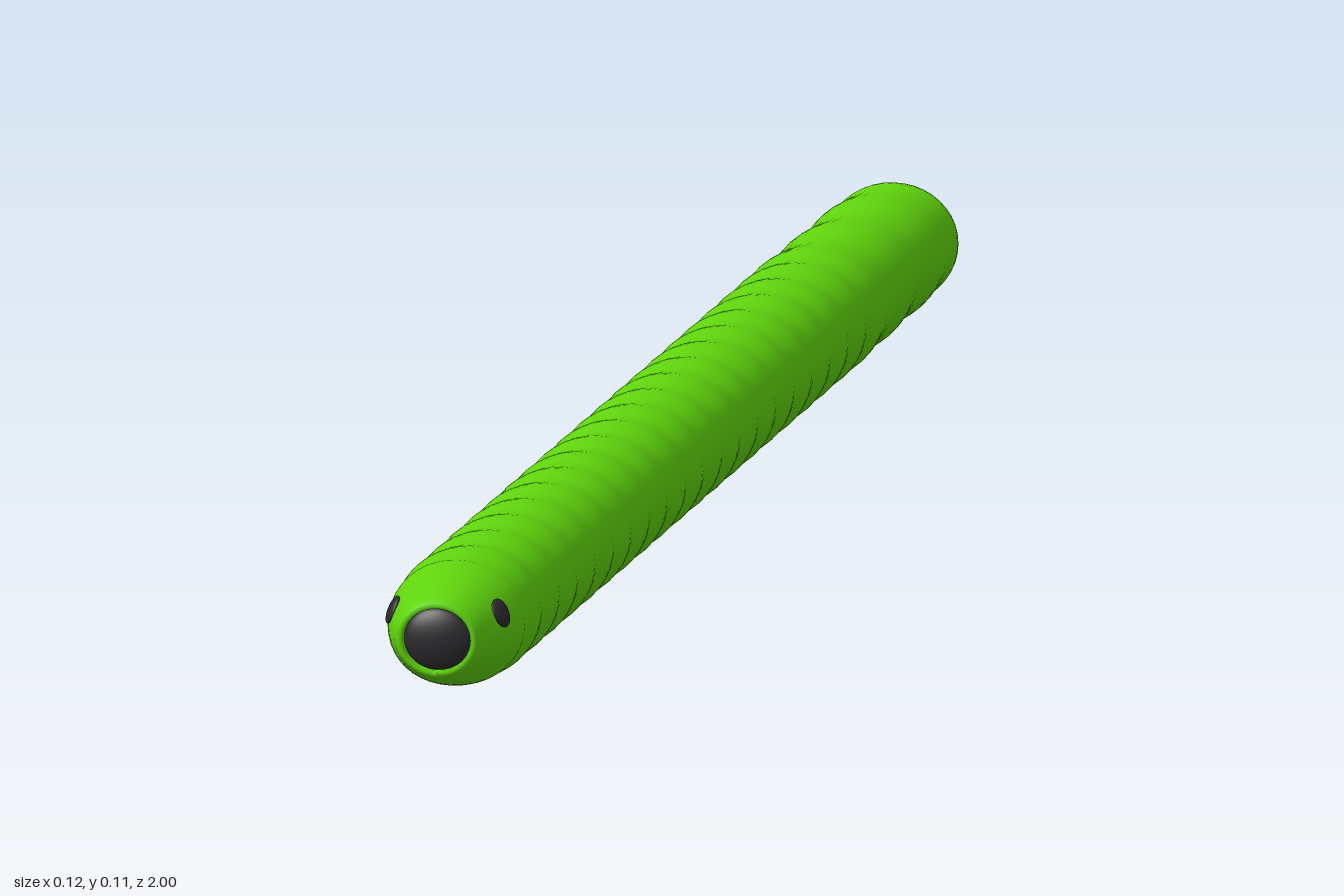
import * as THREE from 'three';

const CENTRE_Y = 0.054;
const HEIGHT_RATIO = 0.915; // the body is slightly wider than tall

// Half width of the body at z: rippled trunk, round tail, tapering snout
function radiusAt(z) {
  const wave = z > -0.6
    ? Math.cos((z + 0.6) * Math.PI * 2 / 0.077)
    : Math.cos((z + 0.6) * Math.PI * 2 / 0.13);
  let r = 0.0565 + 0.0015 * wave;
  if (z < -0.6) r -= 0.002 * Math.min(1, (-0.6 - z) / 0.2);
  if (z < -0.945) {
    const t = Math.min(1, (-0.945 - z) / 0.055);
    r = 0.0535 * Math.sqrt(Math.max(0, 1 - t * t));
  }
  if (z > 0.89) {
    const t = (z - 0.89) / 0.105;
    r = Math.min(r, 0.057 - 0.023 * Math.pow(t, 1.7));
  }
  return r;
}

export function createModel() {
  const model = new THREE.Group();
  model.name = 'worm';
  const green = new THREE.MeshStandardMaterial({ color: 0x5fd40c });
  const dark = new THREE.MeshStandardMaterial({ color: 0x2b2b2e });

  // Body: a lathed profile from tail to lips, laid along z
  const profile = [];
  for (let i = 0; i <= 12; i++) {
    const z = -0.945 - 0.055 * Math.cos(i / 12 * Math.PI / 2);
    profile.push(new THREE.Vector2(i === 0 ? 0 : radiusAt(z), z));
  }
  for (let i = 1; i <= 240; i++) {
    const z = -0.945 + 1.937 * i / 240;
    profile.push(new THREE.Vector2(radiusAt(z), z));
  }
  // Rounded lip turning into the mouth
  [[0.0325, 0.997], [0.03, 0.999], [0.0275, 0.997], [0.027, 0.985]]
    .forEach(([r, z]) => profile.push(new THREE.Vector2(r, z)));
  const bodyGeometry = new THREE.LatheGeometry(profile, 40);
  bodyGeometry.rotateX(Math.PI / 2);
  bodyGeometry.scale(1, HEIGHT_RATIO, 1);
  bodyGeometry.computeVertexNormals();
  const body = new THREE.Mesh(bodyGeometry, green);
  body.name = 'body';
  body.position.y = CENTRE_Y;
  model.add(body);

  // Mouth: a shallow dark dome filling the lips
  const mouth = new THREE.Mesh(new THREE.SphereGeometry(0.0285, 32, 16), dark);
  mouth.name = 'mouth';
  mouth.scale.set(1, HEIGHT_RATIO, 0.4);
  mouth.position.set(0, CENTRE_Y, 0.9886);
  model.add(mouth);

  // Eyes: flattened beads lying on the sides of the head
  for (const side of [1, -1]) {
    const eye = new THREE.Mesh(new THREE.SphereGeometry(0.012, 20, 14), dark);
    eye.name = side > 0 ? 'leftEye' : 'rightEye';
    const angle = 0.38, z = 0.953, r = radiusAt(z);
    eye.position.set(side * r * Math.cos(angle), CENTRE_Y + r * HEIGHT_RATIO * Math.sin(angle), z);
    const normal = new THREE.Vector3(side * Math.cos(angle), Math.sin(angle) / HEIGHT_RATIO, 0.27).normalize();
    eye.quaternion.setFromUnitVectors(new THREE.Vector3(0, 0, 1), normal);
    eye.scale.set(1, 1, 0.3);
    model.add(eye);
  }
  return model;
}
